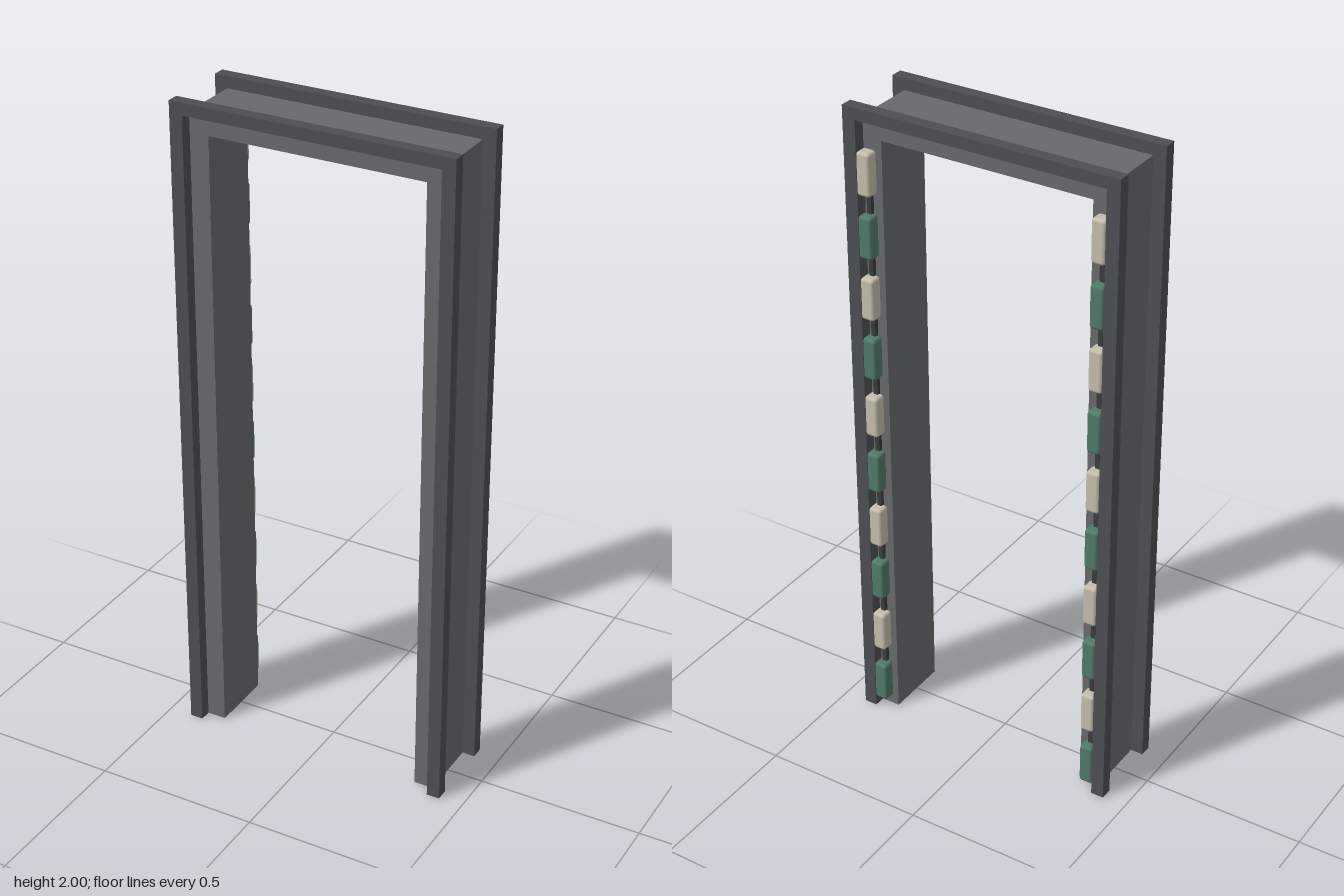
import * as THREE from 'three';
import { RoundedBoxGeometry } from 'three/addons/geometries/RoundedBoxGeometry.js';

const material = (color) => new THREE.MeshStandardMaterial({ color });

// Upside-down U outline, extruded along z and centred on z = 0
function archGeometry(outerX, innerX, topY, innerY, depth) {
  const shape = new THREE.Shape([
    [-outerX, 0], [-innerX, 0], [-innerX, innerY], [innerX, innerY],
    [innerX, 0], [outerX, 0], [outerX, topY], [-outerX, topY],
  ].map(([x, y]) => new THREE.Vector2(x, y)));
  const geometry = new THREE.ExtrudeGeometry(shape, { depth, bevelEnabled: false });
  return geometry.translate(0, 0, -depth / 2);
}

export function createModel() {
  const model = new THREE.Group();
  model.name = 'doorFrame';

  const trimMaterial = material(0x4c4e52);
  const liningMaterial = material(0x68696b);
  const cableMaterial = material(0x3a3b3d);
  const lampMaterials = [material(0x4f7a68), material(0xc4bdaa)];

  const add = (name, geometry, mat, x = 0, y = 0, z = 0, parent = model) => {
    const mesh = new THREE.Mesh(geometry, mat);
    mesh.name = name;
    mesh.position.set(x, y, z);
    parent.add(mesh);
    return mesh;
  };

  // Deep lining of the doorway: two jambs and a lintel
  add('lining', archGeometry(0.388, 0.328, 1.965, 1.905, 0.2), liningMaterial);

  // Square trim running round the outer corner, front and back
  const trim = archGeometry(0.427, 0.387, 2, 1.964, 0.038);
  add('frontTrim', trim, trimMaterial, 0, 0, 0.117);
  add('backTrim', trim, trimMaterial, 0, 0, -0.117);

  // Columns of alternating lamps on the back of each jamb, joined by a cable
  const lamp = new RoundedBoxGeometry(0.043, 0.13, 0.042, 2, 0.01);
  const cable = new THREE.BoxGeometry(0.014, 1.72, 0.014);
  for (const side of [1, -1]) {
    const column = new THREE.Group();
    column.name = side > 0 ? 'leftLamps' : 'rightLamps';
    column.position.set(side * 0.366, 0, -0.119);
    model.add(column);
    add('cable', cable, cableMaterial, 0, 0.955, 0.013, column);
    for (let i = 0; i < 10; i++) {
      add('lamp', lamp, lampMaterials[i % 2], 0, 0.1 + i * 0.19, 0, column);
    }
  }
  return model;
}
